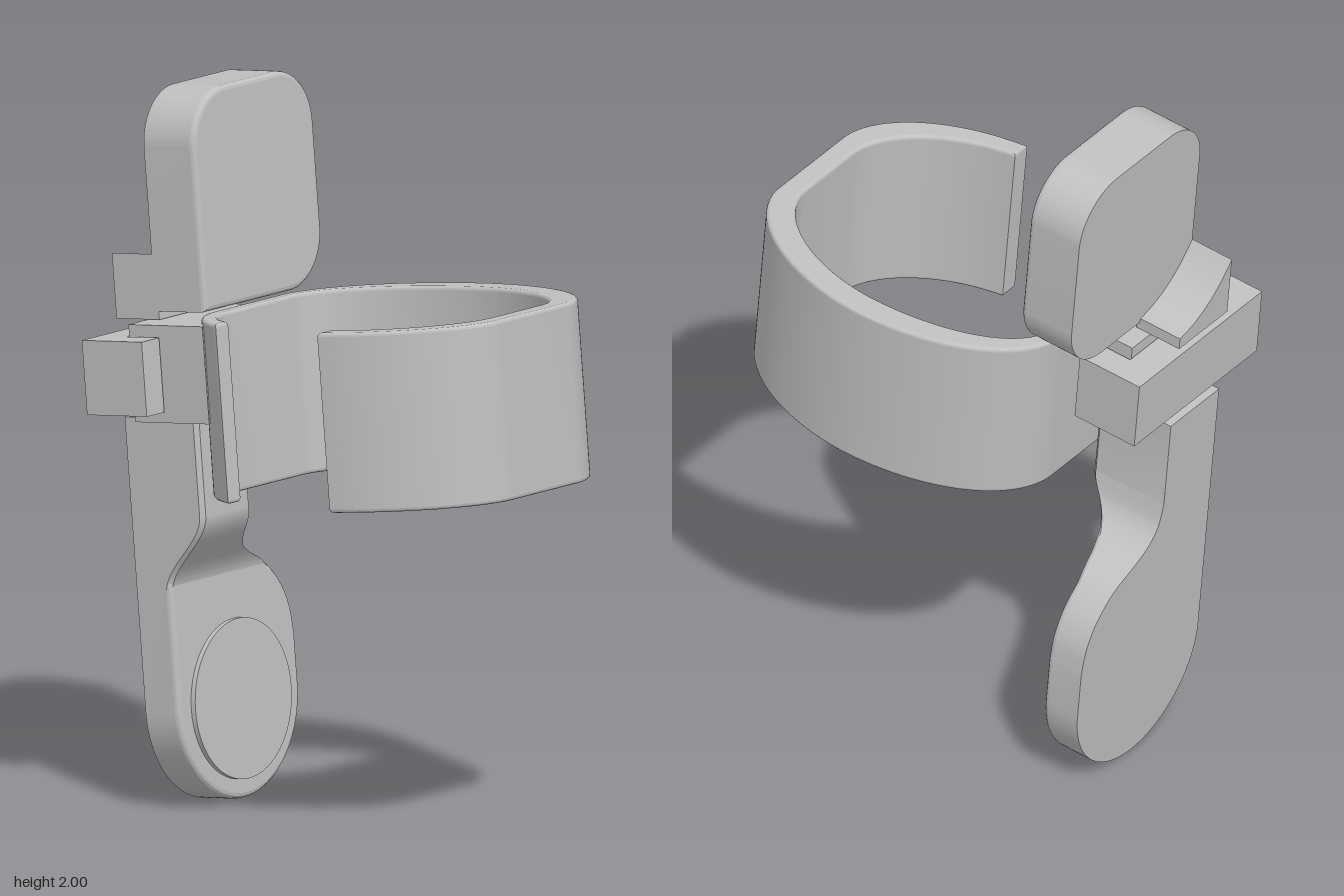
import * as THREE from 'three';
import { toCreasedNormals } from 'three/addons/utils/BufferGeometryUtils.js';

const TILT = THREE.MathUtils.degToRad(5);
const PI = Math.PI;

// Slab facing +z with a rounded front rim and a sharp back rim
function slab(shape, back, front, r) {
  const geo = new THREE.ExtrudeGeometry(shape, {
    depth: front - back - r, bevelThickness: r, bevelSize: r, bevelOffset: -r,
    bevelSegments: 3, curveSegments: 32,
  });
  const p = geo.attributes.position;
  for (let i = 0; i < p.count; i++) p.setZ(i, Math.max(0, p.getZ(i)));
  geo.translate(0, 0, back);
  return toCreasedNormals(geo, 0.2);
}

// Upright prism from corners given as x and depth
function prism(corners, y0, y1) {
  const shape = new THREE.Shape(corners.map(([x, z]) => new THREE.Vector2(x, -z)));
  return new THREE.ExtrudeGeometry(shape, { depth: y1 - y0, bevelEnabled: false })
    .rotateX(-PI / 2).translate(0, y0, 0);
}

// Superellipse arc about (cx, 0.25), in shape space with depth negated
function arc(cx, a, b, t0, t1, power) {
  const pw = (v) => Math.sign(v) * Math.abs(v) ** (2 / power);
  return Array.from({ length: 33 }, (_, i) => {
    const t = t0 + (t1 - t0) * i / 32;
    return new THREE.Vector2(cx + a * pw(Math.cos(t)), -0.25 - b * pw(Math.sin(t)));
  });
}

// Joins closed cross-sections of equal length, with flat end caps
function loft(rings) {
  const n = rings[0].length, idx = [];
  for (let j = 0; j < rings.length - 1; j++) {
    for (let i = 0; i < n; i++) {
      const a = j * n + i, b = j * n + (i + 1) % n;
      idx.push(a, a + n, b, b, a + n, b + n);
    }
  }
  const last = (rings.length - 1) * n;
  for (let i = 1; i < n - 1; i++) idx.push(0, i, i + 1, last, last + i + 1, last + i);
  const geo = new THREE.BufferGeometry();
  geo.setAttribute('position', new THREE.Float32BufferAttribute(rings.flat(2), 3));
  geo.setIndex(idx);
  return toCreasedNormals(geo.toNonIndexed(), 0.4);
}

export function createModel() {
  const root = new THREE.Group();
  root.name = 'bandClip';
  const body = new THREE.Group();
  body.name = 'tiltedBody';
  body.rotation.x = -TILT;
  root.add(body);
  const gray = new THREE.MeshStandardMaterial({ color: 0xc0c0c0 });
  gray.name = 'light gray';
  const add = (name, geo) => {
    const mesh = new THREE.Mesh(geo, gray);
    mesh.name = name;
    body.add(mesh);
  };

  // Open band: outer outline from the front tip round to the back tip, then the inner one back
  const bandShape = new THREE.Shape([
    ...arc(-0.15, 0.306, 0.48, PI - 0.189, PI / 2, 1.87),
    ...arc(0.15, 0.295, 0.48, PI / 2, 0, 1.87),
    ...arc(0.15, 0.295, 0.49, 0, -PI / 2, 2).slice(1),
    ...arc(-0.15, 0.284, 0.49, -PI / 2, -PI + 0.738, 2),
    ...arc(-0.15, 0.234, 0.445, -PI + 0.818, -PI / 2, 2),
    ...arc(0.15, 0.216, 0.445, -PI / 2, 0, 2),
    ...arc(0.11, 0.256, 0.415, 0, PI / 2, 1.87).slice(1),
    ...arc(-0.11, 0.292, 0.415, PI / 2, PI - 0.217, 1.87),
  ]);
  const r = 0.01;
  const band = new THREE.ExtrudeGeometry(bandShape, {
    depth: 0.495 - 2 * r, bevelThickness: r, bevelSize: r, bevelOffset: -r, bevelSegments: 3,
  });
  band.rotateX(-PI / 2).translate(0, 0.918 + r, 0);
  add('band', toCreasedNormals(band, 0.2));

  // Upper plate: three round corners and one square corner
  const [x0, x1, y0, y1, c] = [-0.24, 0.311, 1.423, 2.025, 0.155];
  const plate = new THREE.Shape();
  plate.moveTo(x0, y0);
  plate.lineTo(x1 - c, y0);
  plate.absarc(x1 - c, y0 + c, c, -PI / 2, 0);
  plate.absarc(x1 - c, y1 - c, c, 0, PI / 2);
  plate.absarc(x0 + c, y1 - c, c, PI / 2, PI);
  plate.closePath();
  add('upperPlate', slab(plate, -0.37, -0.2, 0.015));

  // Lower paddle: round pad whose right edge sweeps into a narrow neck
  const edge = new THREE.SplineCurve([[0.311, 0.46], [0.297, 0.54], [0.257, 0.615], [0.19, 0.675],
    [0.11, 0.71], [0.045, 0.742], [0, 0.79], [-0.02, 0.86]]
    .map(([x, y]) => new THREE.Vector2(x, y))).getPoints(48);
  const paddle = new THREE.Shape();
  paddle.moveTo(-0.24, 0.32);
  paddle.absarc(0.0355, 0.32, 0.2755, PI, 2 * PI);
  edge.forEach((p) => paddle.lineTo(p.x, p.y));
  paddle.lineTo(-0.02, 1.13);
  paddle.lineTo(-0.24, 1.13);
  paddle.closePath();
  add('lowerPaddle', slab(paddle, -0.5, -0.386, 0.015));

  // Thick neck rising smoothly out of the paddle
  const b = 0.012;
  const rings = [...edge.filter((p) => p.y > 0.65), new THREE.Vector2(-0.02, 1.13)].map(({ x, y }) => {
    const front = -0.388 + 0.13 * THREE.MathUtils.smoothstep(y, 0.65, 0.86);
    return [[x, y, -0.499], [x, y, front - b], [x - b, y, front],
      [-0.24 + b, y, front], [-0.24, y, front - b], [-0.24, y, -0.499]];
  });
  add('neck', loft(rings));

  // Raised round pad on the paddle
  add('roundPad', new THREE.CylinderGeometry(0.22, 0.22, 0.03, 64)
    .rotateX(PI / 2).translate(0.035, 0.318, -0.387));

  // Mounting block behind the band
  add('mountingBlock', prism([[-0.32, -0.405], [0.06, -0.405], [0.06, -0.21],
    [-0.22, -0.21], [-0.32, -0.155]], 1.13, 1.398));

  // U-shaped clamp gripping the block
  add('clamp', prism([[-0.41, -0.499], [0.15, -0.499], [0.15, -0.297], [0.07, -0.297],
    [0.07, -0.408], [-0.33, -0.408], [-0.33, -0.297], [-0.41, -0.297]], 1.161, 1.366));

  // Wedge catch with a hollow sloping top
  const wedge = new THREE.Shape();
  wedge.moveTo(-0.24, 1.4);
  wedge.lineTo(-0.02, 1.4);
  wedge.lineTo(-0.02, 1.435);
  wedge.quadraticCurveTo(-0.15, 1.455, -0.24, 1.58);
  wedge.closePath();
  add('wedgeCatch', toCreasedNormals(new THREE.ExtrudeGeometry(wedge,
    { depth: 0.145, bevelEnabled: false, curveSegments: 16 }).translate(0, 0, -0.504), 0.3));

  return root;
}
